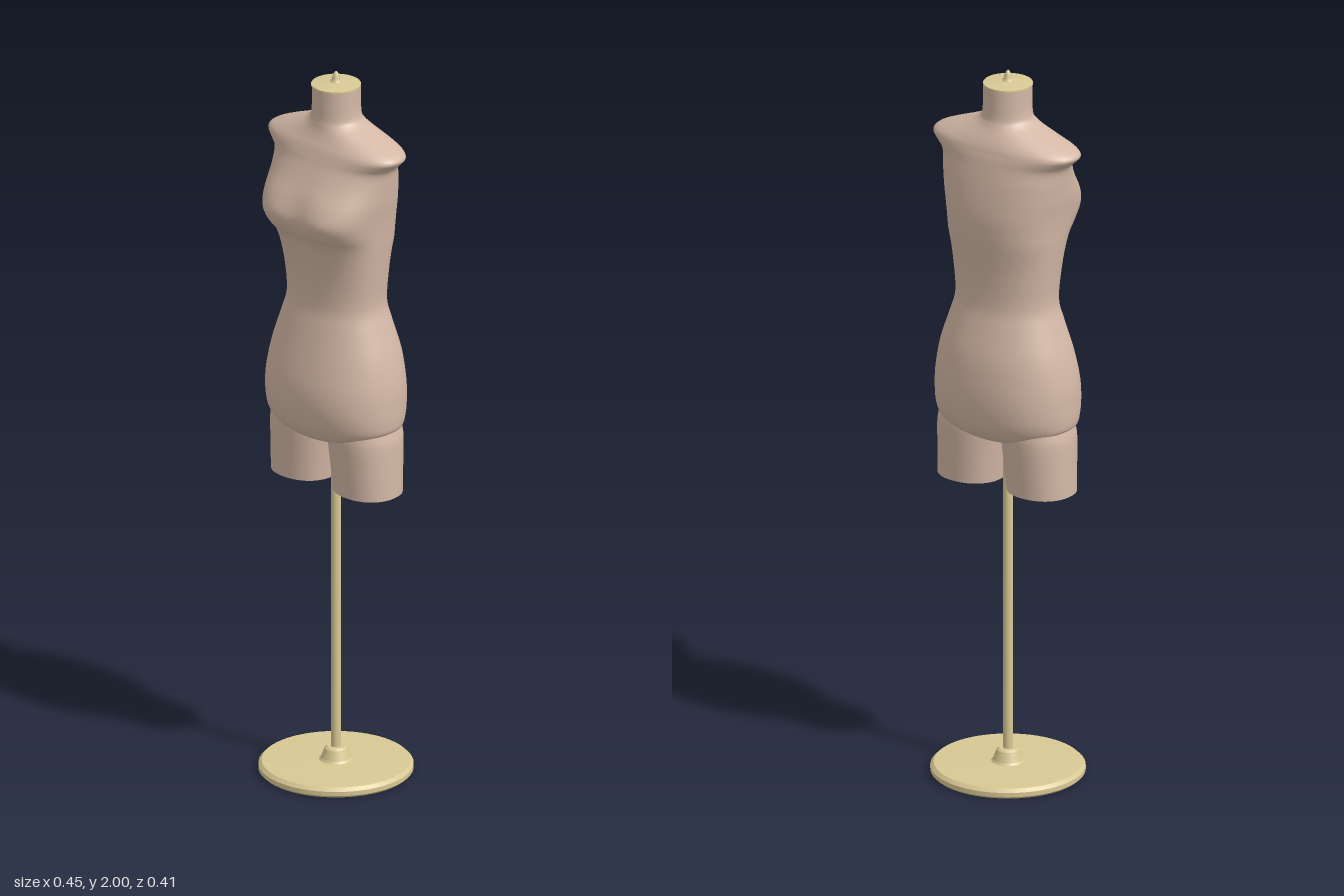
import * as THREE from 'three';

// Uniform Catmull-Rom through rows of section values
function refine(rows, steps) {
  const out = [];
  const at = (i) => rows[Math.min(Math.max(i, 0), rows.length - 1)];
  for (let i = 0; i < rows.length - 1; i++) {
    for (let s = 0; s < steps; s++) {
      const t = s / steps;
      out.push(rows[i].map((b, k) => {
        const a = at(i - 1)[k], c = at(i + 1)[k], d = at(i + 2)[k];
        return b + 0.5 * t * (c - a + t * (2 * a - 5 * b + 4 * c - d + t * (3 * (b - c) + d - a)));
      }));
    }
  }
  out.push(rows[rows.length - 1]);
  return out;
}

// Rounded loops from top to bottom; each row is y, half width, front z, back z.
// shape(y) gives squareness, cleavage dip, hem sag and centre x.
function loft(rows, shape, steps = 4, seg = 72) {
  const pos = [], idx = [];
  const rings = refine(rows, steps);
  const addRing = ([y, rx, zf, zb]) => {
    const { square, dip, sag, centre } = shape(y);
    const start = pos.length / 3, mid = (zf + zb) * 0.15;
    for (let j = 0; j < seg; j++) {
      const a = (j / seg) * Math.PI * 2, c = Math.cos(a), s = Math.sin(a);
      const e = s > 0 ? square : Math.min(square, 2.4);
      const r = 1 / (Math.abs(c) ** e + Math.abs(s) ** e) ** (1 / e);
      const x = rx * r * c;
      let z = mid + r * s * (s > 0 ? zf - mid : mid - zb);
      if (s > 0) z *= 1 - dip * Math.exp(-((x / 0.06) ** 2));
      pos.push(centre + x, y - sag * (1 - (r * c) ** 2), z);
    }
    return start;
  };
  const starts = rings.map(addRing);
  for (let i = 0; i < starts.length - 1; i++) {
    for (let j = 0; j < seg; j++) {
      const k = (j + 1) % seg, u = starts[i], l = starts[i + 1];
      idx.push(u + j, u + k, l + j, u + k, l + k, l + j);
    }
  }
  // Separate cap rings keep the end edges crisp
  [[rings[0], true], [rings[rings.length - 1], false]].forEach(([row, top]) => {
    const s = addRing(row), hub = pos.length / 3, { sag, centre } = shape(row[0]);
    pos.push(centre, row[0] - sag, (row[2] + row[3]) / 2);
    for (let j = 0; j < seg; j++) {
      const k = (j + 1) % seg;
      if (top) idx.push(hub, s + k, s + j);
      else idx.push(hub, s + j, s + k);
    }
  });
  const geo = new THREE.BufferGeometry();
  geo.setAttribute('position', new THREE.Float32BufferAttribute(pos, 3));
  geo.setIndex(idx);
  geo.computeVertexNormals();
  return geo;
}

// Each straight run is its own lathe band, so corners stay sharp
function turned(name, points, material) {
  const group = new THREE.Group();
  group.name = name;
  for (let i = 0; i < points.length - 1; i++) {
    const pair = [points[i], points[i + 1]].map(([r, y]) => new THREE.Vector2(r, y));
    const mesh = new THREE.Mesh(new THREE.LatheGeometry(pair, 64), material);
    mesh.name = name + 'Band';
    group.add(mesh);
  }
  return group;
}

// Round neck, squarer bust with a dip between the breasts, sagging hem
function torsoShape(y) {
  const bust = Math.exp(-(((y - 1.63) / 0.075) ** 2));
  return {
    square: 2.25 - 0.25 * THREE.MathUtils.smoothstep(y, 1.8, 1.87) + 0.65 * bust,
    dip: 0.08 * bust,
    sag: Math.max(0, (1.06 - y) * 0.65),
    centre: 0,
  };
}

export function createModel() {
  const model = new THREE.Group();
  model.name = 'dressForm';
  const fabric = new THREE.MeshStandardMaterial({ color: 0xd4b8a6 });
  fabric.name = 'beigeFabric';
  const brass = new THREE.MeshStandardMaterial({ color: 0xd8c894 });
  brass.name = 'paleBrass';
  const add = (name, geo, mat) => {
    const mesh = new THREE.Mesh(geo, mat);
    mesh.name = name;
    model.add(mesh);
    return mesh;
  };

  // Neck, shoulders, bust, waist and hips in one skin
  add('torso', loft([
    [1.96, 0.066, 0.061, -0.065],
    [1.885, 0.068, 0.062, -0.067],
    [1.863, 0.083, 0.065, -0.073],
    [1.846, 0.122, 0.069, -0.082],
    [1.826, 0.175, 0.077, -0.094],
    [1.809, 0.213, 0.086, -0.102],
    [1.795, 0.224, 0.092, -0.106],
    [1.78, 0.211, 0.098, -0.11],
    [1.758, 0.19, 0.107, -0.114],
    [1.715, 0.184, 0.13, -0.121],
    [1.665, 0.179, 0.161, -0.127],
    [1.62, 0.172, 0.177, -0.13],
    [1.58, 0.167, 0.16, -0.128],
    [1.54, 0.163, 0.13, -0.124],
    [1.45, 0.153, 0.105, -0.112],
    [1.36, 0.146, 0.098, -0.109],
    [1.3, 0.162, 0.109, -0.121],
    [1.22, 0.188, 0.128, -0.14],
    [1.14, 0.203, 0.145, -0.148],
    [1.08, 0.206, 0.147, -0.147],
    [1.042, 0.205, 0.138, -0.139],
    [1.018, 0.2, 0.118, -0.119],
    [1.008, 0.18, 0.09, -0.095],
  ], torsoShape), fabric);

  // Thigh stumps, leaning slightly outward
  for (const [name, side] of [['leftThigh', 1], ['rightThigh', -1]]) {
    const thighShape = (y) => ({
      square: 2.2, dip: 0, sag: 0, centre: side * (0.112 - (y - 0.83) * 0.06),
    });
    add(name, loft([
      [1.045, 0.088, 0.088, -0.096],
      [1.005, 0.096, 0.092, -0.101],
      [0.975, 0.099, 0.092, -0.101],
      [0.9, 0.096, 0.086, -0.095],
      [0.83, 0.093, 0.081, -0.09],
    ], thighShape), fabric);
  }

  // Stand: round foot, collar and pole
  model.add(turned('baseDisc',
    [[0, 0], [0.2, 0], [0.206, 0.006], [0.206, 0.018], [0.197, 0.027], [0, 0.031]], brass));
  model.add(turned('poleCollar',
    [[0.046, 0.028], [0.04, 0.036], [0.03, 0.062], [0.024, 0.067], [0.012, 0.067]], brass));
  const pole = add('pole', new THREE.CylinderGeometry(0.0135, 0.0135, 0.97, 32), brass);
  pole.position.y = 0.515;

  // Neck plate and finial
  model.add(turned('neckCap', [[0, 1.959], [0.066, 1.959], [0.066, 1.964], [0, 1.971]], brass));
  const spire = [[0.015, 1.966], [0.015, 1.972], [0.009, 1.975], [0.011, 1.981], [0.005, 1.995], [0, 2]];
  add('finial', new THREE.LatheGeometry(spire.map(([r, y]) => new THREE.Vector2(r, y)), 32), brass);

  return model;
}
